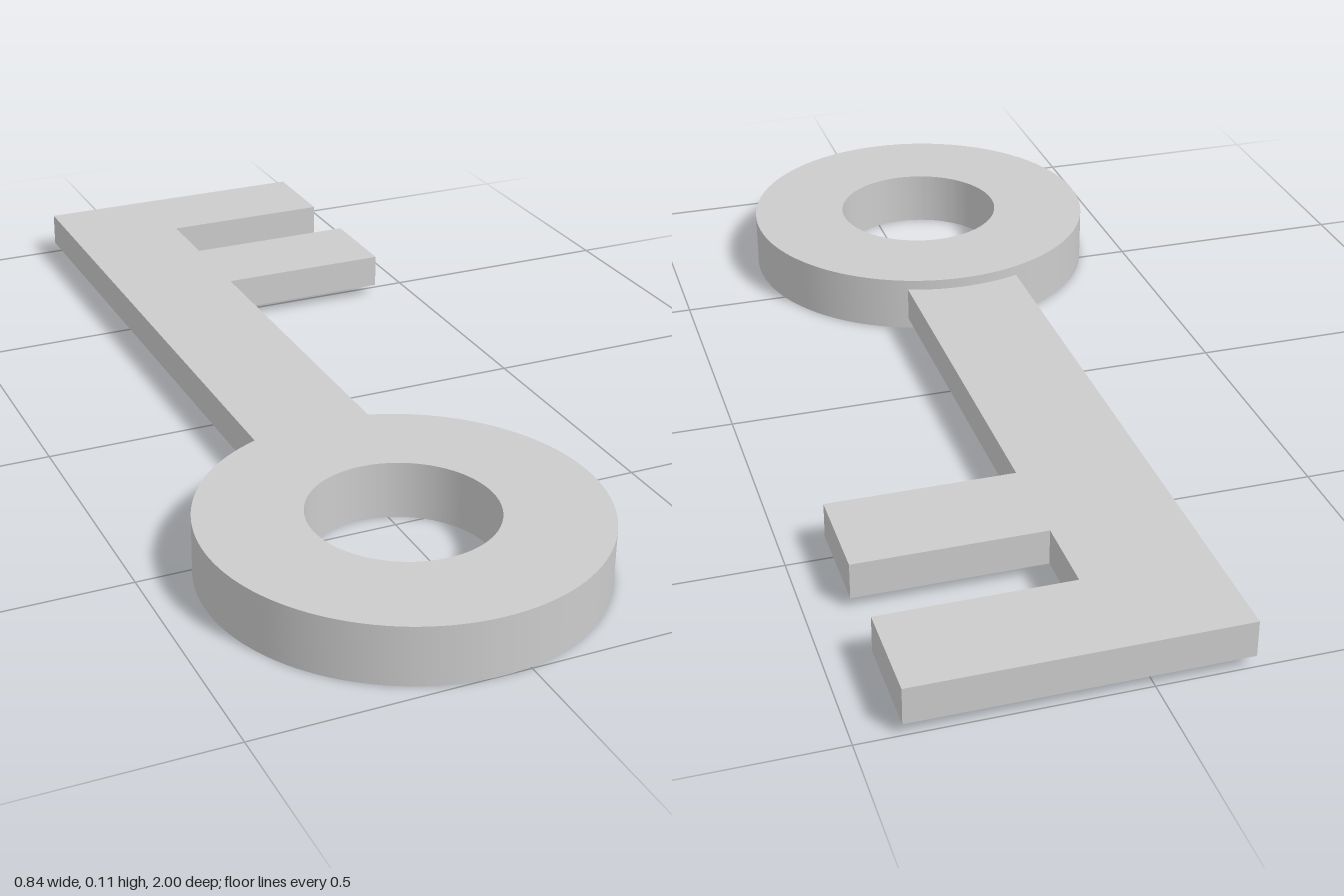
import * as THREE from 'three';
import { toCreasedNormals } from 'three/addons/utils/BufferGeometryUtils.js';

const material = new THREE.MeshStandardMaterial({ color: 0xcccccc });

// Extrudes a plan outline (shape y = -z) upward from height y0 to y1.
function slab(name, shape, y0, y1) {
  const geometry = new THREE.ExtrudeGeometry(shape, {
    depth: y1 - y0, bevelEnabled: false, curveSegments: 64,
  });
  geometry.rotateX(-Math.PI / 2);
  geometry.translate(0, y0, 0);
  const mesh = new THREE.Mesh(toCreasedNormals(geometry, Math.PI / 6), material);
  mesh.name = name;
  return mesh;
}

export function createModel() {
  const key = new THREE.Group();
  key.name = 'key';

  // Round bow with a finger hole
  const cx = -0.053, cz = 0.633;
  const ring = new THREE.Shape().absarc(cx, -cz, 0.367, 0, Math.PI * 2, false);
  ring.holes.push(new THREE.Path().absarc(cx, -cz, 0.172, 0, Math.PI * 2, true));
  key.add(slab('bow', ring, 0, 0.112));

  // Thinner shank with two square teeth, its end sunk into the bow
  const left = -0.175, right = 0.065, tip = 0.42;
  const outline = [
    [left, -0.3], [right, -0.3],
    [right, 0.465], [tip, 0.465], [tip, 0.657], [right, 0.657],
    [right, 0.808], [tip, 0.808], [tip, 1], [left, 1],
  ].map(([x, y]) => new THREE.Vector2(x, y));
  key.add(slab('shankAndTeeth', new THREE.Shape(outline), 0.022, 0.091));

  return key;
}
